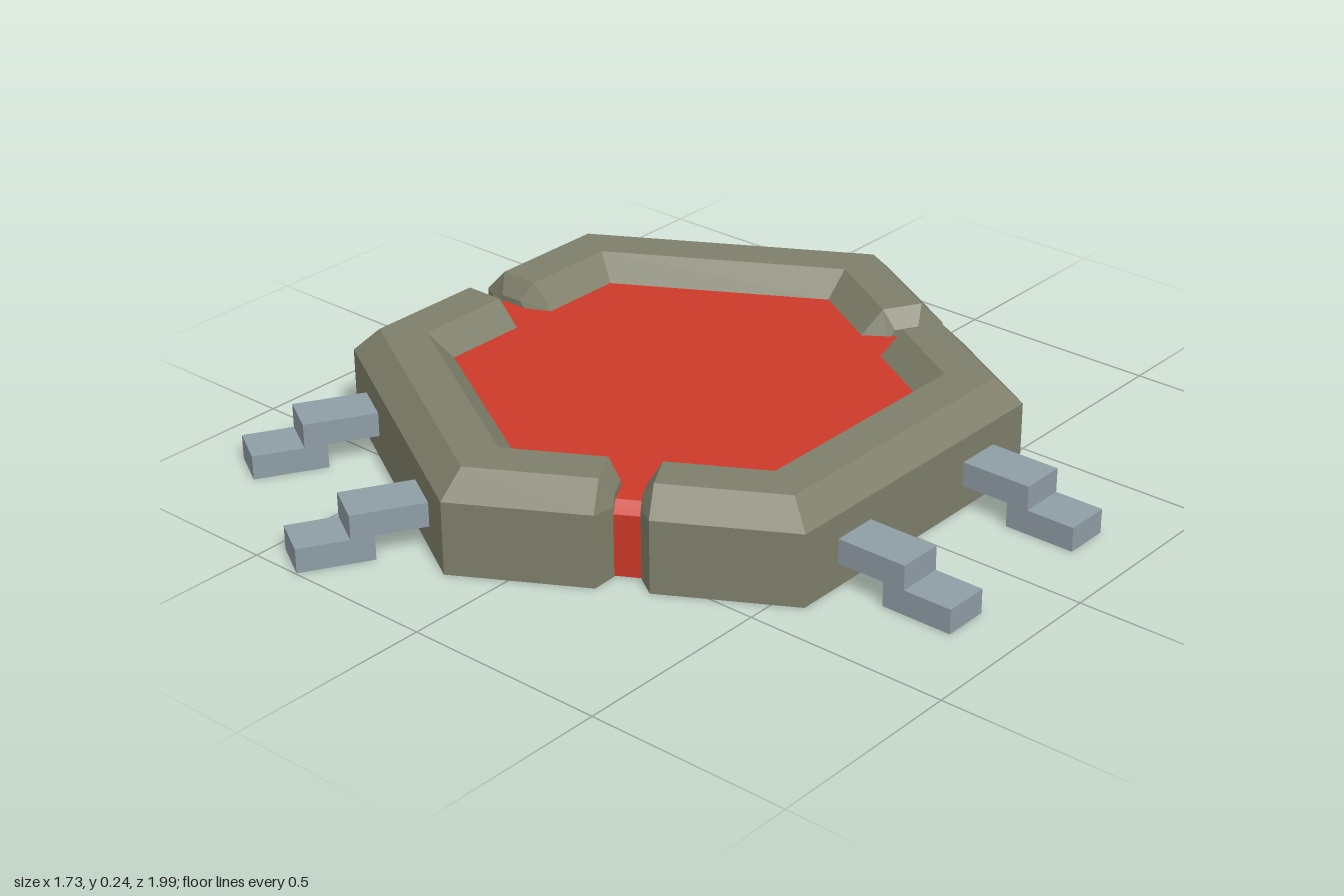
import * as THREE from 'three';

const mat = (color) => new THREE.MeshStandardMaterial({ color, flatShading: true });
const STONE = mat(0x7f7f6b), RED = mat(0xcc3a2a), STEEL = mat(0x8f9da5);

const CX = -0.125;               // hexagon centre in x
const COS30 = Math.cos(Math.PI / 6);

// Rim cross-sections as [distance from centre, height]
const RIM = [[0.6875, 0], [0.6875, 0.18], [0.63, 0.24], [0.53, 0.24], [0.475, 0.18], [0.475, 0]];
const RIM_INSET = [[0.63, 0], [0.63, 0.17], [0.61, 0.195], [0.55, 0.195], [0.53, 0.17], [0.53, 0]];

function flat(geometry) {
  const g = geometry.index ? geometry.toNonIndexed() : geometry;
  g.computeVertexNormals();
  return g;
}

// One third of the rim: a full side, two corners and two chamfered half sides
function rimGeometry() {
  const onSide = (profile, angle, t) => profile.map(([a, y]) => [
    a * Math.cos(angle) - t * Math.sin(angle), y, a * Math.sin(angle) + t * Math.cos(angle)]);
  const onCorner = (angle) => RIM.map(([a, y]) => [
    a / COS30 * Math.cos(angle), y, a / COS30 * Math.sin(angle)]);
  const A = Math.PI / 3;
  const sections = [
    onSide(RIM_INSET, -A, 0.03), onSide(RIM, -A, 0.06),
    onCorner(-A / 2), onCorner(A / 2),
    onSide(RIM, A, -0.06), onSide(RIM_INSET, A, -0.03),
  ];
  const n = RIM.length, index = [];
  for (let i = 0; i < sections.length - 1; i++) {
    for (let j = 0; j < n; j++) {
      const a = i * n + j, b = i * n + (j + 1) % n;
      index.push(a, b, b + n, a, b + n, a + n);
    }
  }
  // End caps
  const last = (sections.length - 1) * n;
  for (let k = 1; k < n - 1; k++) {
    index.push(0, k + 1, k, last, last + k, last + k + 1);
  }
  const g = new THREE.BufferGeometry();
  g.setAttribute('position', new THREE.Float32BufferAttribute(sections.flat(2), 3));
  g.setIndex(index);
  return flat(g);
}

function addMesh(parent, name, geometry, material, x = 0, y = 0, z = 0) {
  const mesh = new THREE.Mesh(geometry, material);
  mesh.name = name;
  mesh.position.set(x, y, z);
  parent.add(mesh);
  return mesh;
}

// Stepped foot: an upper arm out of the wall and a lower toe on the ground
function makeFoot(z) {
  const foot = new THREE.Group();
  foot.name = 'foot';
  addMesh(foot, 'footArm', new THREE.BoxGeometry(0.245, 0.06, 0.113), STEEL, 0.7425, 0.09, z);
  addMesh(foot, 'footToe', new THREE.BoxGeometry(0.178, 0.06, 0.113), STEEL, 0.899, 0.03, z);
  return foot;
}

export function createModel() {
  const model = new THREE.Group();
  model.name = 'hexagonalPad';
  const body = new THREE.Group();
  body.name = 'body';
  body.position.x = CX;
  model.add(body);

  // Red core with a bevelled top edge
  const profile = [[0.63, 0.002], [0.63, 0.155], [0.605, 0.18], [0, 0.18]]
    .map(([a, y]) => new THREE.Vector2(a / COS30, y));
  addMesh(body, 'core', flat(new THREE.LatheGeometry(profile, 6)), RED);

  // Underside
  const under = new THREE.CircleGeometry(0.63 / COS30, 6, Math.PI / 2);
  under.rotateX(Math.PI / 2);
  addMesh(body, 'underside', under, STONE, 0, 0.001, 0);

  // Three rim segments, each with a pair of feet
  const rim = rimGeometry();
  for (let i = 0; i < 3; i++) {
    const third = new THREE.Group();
    third.name = 'rimSection';
    third.rotation.y = i * Math.PI * 2 / 3;
    addMesh(third, 'rim', rim, STONE);
    for (const side of [-1, 1]) third.add(makeFoot(side * 0.227));
    body.add(third);
  }
  return model;
}
